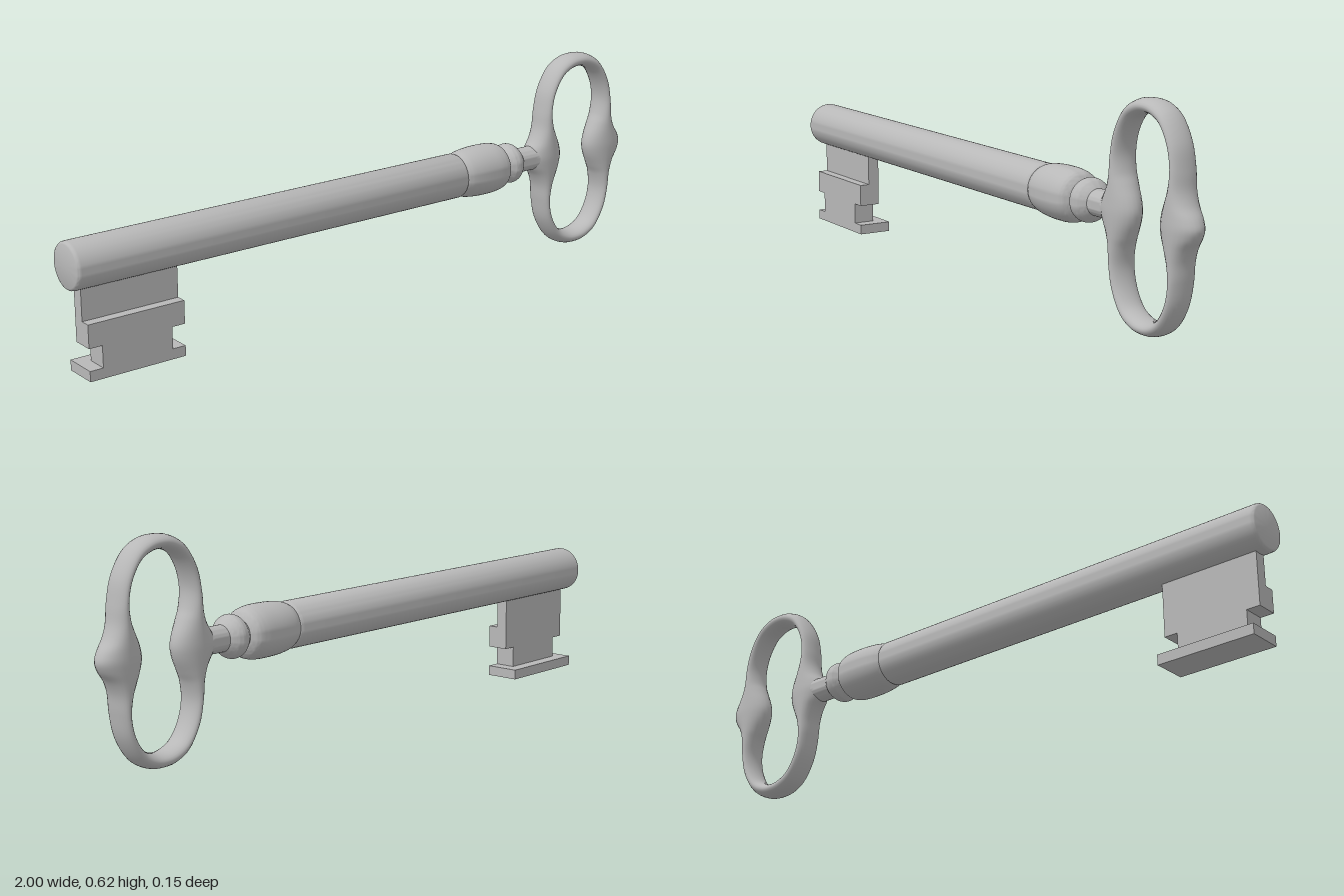
import * as THREE from 'three';
import { toCreasedNormals } from 'three/addons/utils/BufferGeometryUtils.js';

const AXIS_Y = 0.313;

// Turned part along x from [x, radius] pairs
function turned(points) {
  const g = new THREE.LatheGeometry(points.map(([x, r]) => new THREE.Vector2(r, x)), 48);
  g.rotateZ(-Math.PI / 2);
  return toCreasedNormals(g, 0.6);
}

// Smooth [x, radius] profile through a few points
function smooth(points, n) {
  const curve = new THREE.CatmullRomCurve3(points.map(([x, r]) => new THREE.Vector3(x, r, 0)));
  return curve.getPoints(n).map((p) => [p.x, p.y]);
}

// Closed ring with an elliptical section, from one quarter of its outline
function bowGeometry() {
  // [outer x, outer y, inner x, inner y, half depth], from the side bulge to the top
  const quarter = [
    [0.197, 0, 0.06, 0, 0.047], [0.188, 0.025, 0.066, 0.03, 0.046],
    [0.165, 0.055, 0.085, 0.07, 0.044], [0.15, 0.09, 0.1, 0.1, 0.042],
    [0.143, 0.14, 0.108, 0.15, 0.04], [0.128, 0.21, 0.095, 0.2, 0.039],
    [0.085, 0.277, 0.066, 0.243, 0.039], [0.04, 0.302, 0.03, 0.262, 0.039],
    [0, 0.307, 0, 0.267, 0.039],
  ];
  const mirror = (list, sx, sy) => list.map(([a, b, c, d, e]) => [a * sx, b * sy, c * sx, d * sy, e]);
  const back = quarter.slice(1, -1).reverse();
  const loop = [
    ...quarter, ...mirror(back, -1, 1),
    ...mirror(quarter, -1, -1), ...mirror(back, 1, -1),
  ];
  const spline = (f) => new THREE.CatmullRomCurve3(loop.map(f), true);
  const outer = spline((p) => new THREE.Vector3(p[0], p[1], p[4]));
  const inner = spline((p) => new THREE.Vector3(p[2], p[3], p[4]));

  const N = 160, M = 24, pos = [], index = [];
  for (let i = 0; i < N; i++) {
    const o = outer.getPoint(i / N), n = inner.getPoint(i / N);
    for (let j = 0; j < M; j++) {
      const a = (j / M) * Math.PI * 2, k = (1 + Math.cos(a)) / 2;
      pos.push(n.x + (o.x - n.x) * k, n.y + (o.y - n.y) * k, o.z * Math.sin(a));
      const i2 = (i + 1) % N, j2 = (j + 1) % M;
      const p = i * M + j, q = i2 * M + j, r = i2 * M + j2, s = i * M + j2;
      index.push(p, q, r, p, r, s);
    }
  }
  const g = new THREE.BufferGeometry();
  g.setAttribute('position', new THREE.Float32BufferAttribute(pos, 3));
  g.setIndex(index);
  g.computeVertexNormals();
  return g;
}

export function createModel() {
  const key = new THREE.Group();
  key.name = 'key';
  const metal = new THREE.MeshStandardMaterial({ color: 0xb8b8b8 });
  metal.name = 'grey metal';

  const add = (name, geometry, x = 0, y = 0, z = 0) => {
    const m = new THREE.Mesh(geometry, metal);
    m.name = name;
    m.position.set(x, y, z);
    key.add(m);
  };
  const box = (name, x0, x1, y0, y1, z0, z1) => add(name,
    new THREE.BoxGeometry(x1 - x0, y1 - y0, z1 - z0), (x0 + x1) / 2, (y0 + y1) / 2, (z0 + z1) / 2);

  // Turned shaft, collar, bead and stem
  add('shaft', turned([[-1, 0], [-1, 0.059], [-0.998, 0.063], [-0.994, 0.066], [-0.988, 0.067],
    [0.313, 0.067], [0.319, 0.065], [0.323, 0.06], [0.323, 0]]), 0, AXIS_Y);
  add('collar', turned([[0.318, 0], ...smooth([[0.318, 0.06], [0.335, 0.068], [0.37, 0.074],
    [0.415, 0.076], [0.46, 0.074], [0.485, 0.067], [0.497, 0.054], [0.503, 0.04]], 28), [0.503, 0]]), 0, AXIS_Y);
  add('bead', turned([[0.495, 0], ...smooth([[0.495, 0.042], [0.505, 0.048], [0.518, 0.058],
    [0.53, 0.061], [0.544, 0.058], [0.557, 0.048], [0.567, 0.037]], 24), [0.567, 0]]), 0, AXIS_Y);
  add('stem', turned([[0.55, 0], [0.55, 0.037], [0.62, 0.037], [0.64, 0.04], [0.66, 0.044], [0.66, 0]]), 0, AXIS_Y);

  // Ring handle
  add('bow', bowGeometry(), 0.8, AXIS_Y);

  // Stepped and notched bit
  const L = -0.97, R = -0.675, back = -0.015;
  box('bitPlate', L, R, 0.16, 0.28, back, 0.02);
  box('bitBlock', L, R, 0.093, 0.16, back, 0.05);
  box('bitNeck', L + 0.04, R - 0.04, 0.03, 0.093, back, 0.05);
  box('bitFoot', L, R, 0, 0.03, -0.053, 0.05);

  return key;
}
